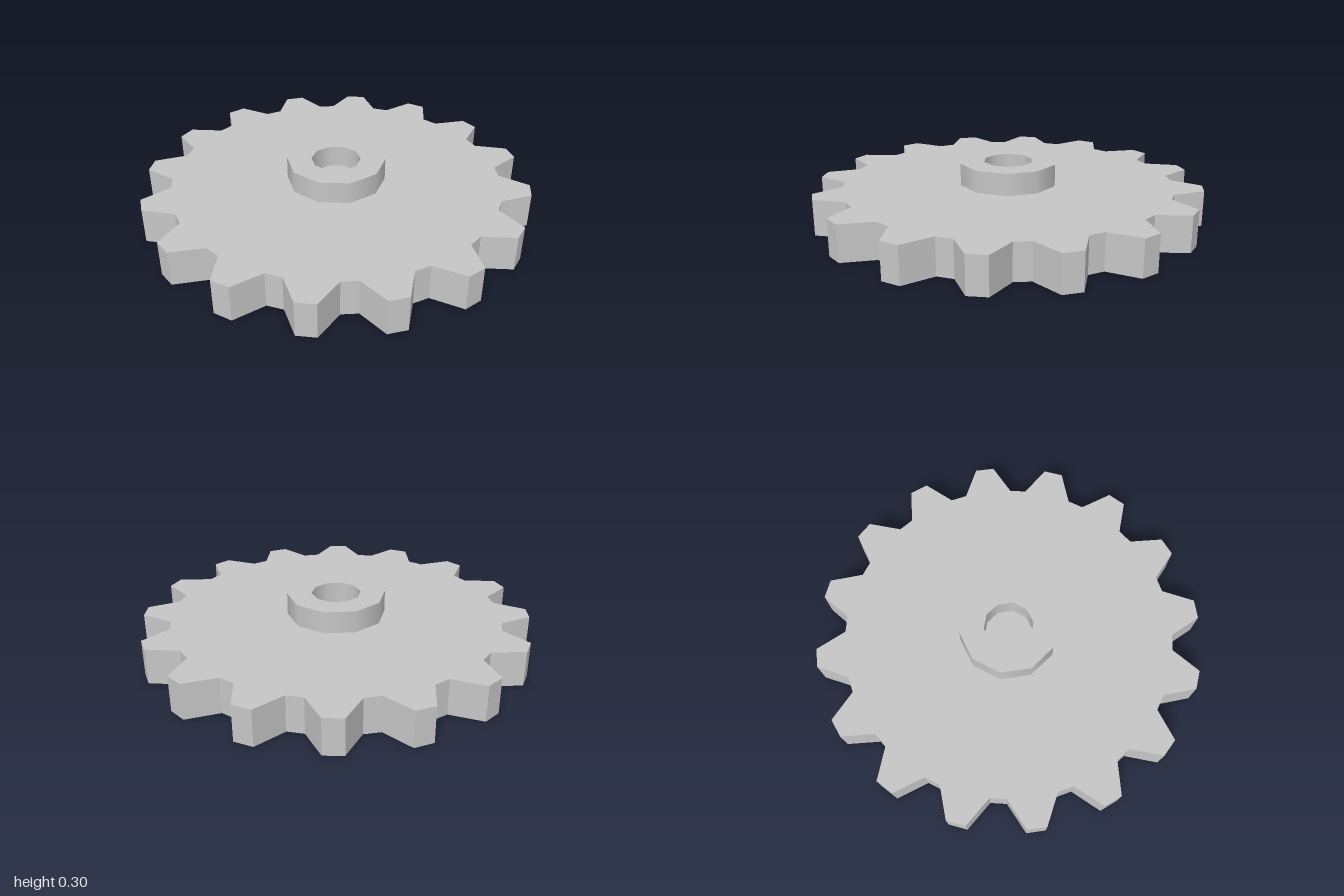
import * as THREE from 'three';

const TEETH = 16, TIP = 1.005, ROOT = 0.857;
const DISC_H = 0.185, HUB_TOP = 0.3, HUB_R = 0.255, BORE_R = 0.128;

export function createModel() {
  const group = new THREE.Group();
  group.name = 'gear';
  const steel = new THREE.MeshStandardMaterial({ color: 0xc6c6c6 });
  steel.name = 'grey steel';

  // Toothed disc: two root points, then two tip points per tooth
  const outline = [];
  const count = TEETH * 4;
  for (let k = 0; k < count; k++) {
    const a = (k / count) * Math.PI * 2;
    const r = k % 4 < 2 ? ROOT : TIP;
    outline.push(new THREE.Vector2(Math.sin(a) * r, Math.cos(a) * r));
  }
  const discGeometry = new THREE.ExtrudeGeometry(new THREE.Shape(outline), {
    depth: DISC_H, bevelEnabled: false,
  });
  discGeometry.rotateX(-Math.PI / 2);
  const disc = new THREE.Mesh(discGeometry, steel);
  disc.name = 'toothedDisc';
  group.add(disc);

  // Ten-sided hub with a blind bore; separate bands keep the rims sharp
  const hub = new THREE.Group();
  hub.name = 'hub';
  const band = (name, r0, y0, r1, y1) => {
    const profile = [new THREE.Vector2(r0, y0), new THREE.Vector2(r1, y1)];
    const mesh = new THREE.Mesh(new THREE.LatheGeometry(profile, 10, Math.PI / 2), steel);
    mesh.name = name;
    hub.add(mesh);
  };
  band('hubWall', HUB_R, DISC_H, HUB_R, HUB_TOP);
  band('hubRim', HUB_R, HUB_TOP, BORE_R, HUB_TOP);
  band('boreWall', BORE_R, HUB_TOP, BORE_R, DISC_H);
  group.add(hub);

  return group;
}
